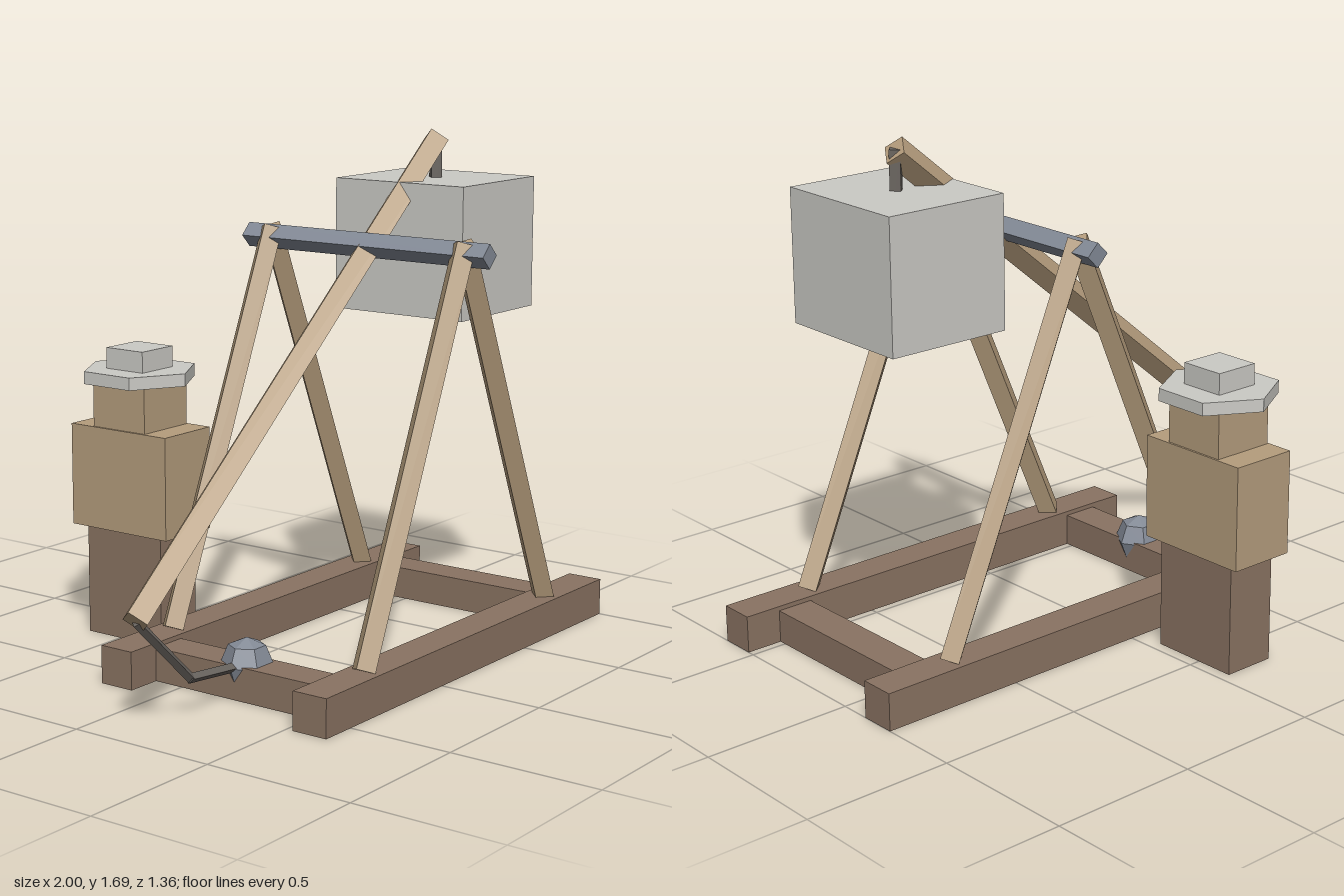
import * as THREE from 'three';

export function createModel() {
  const model = new THREE.Group();
  const mat = (name, color) => {
    const m = new THREE.MeshStandardMaterial({ color, flatShading: true });
    m.name = name;
    return m;
  };
  const darkWood = mat('dark wood', 0x8a7362);
  const lightWood = mat('light wood', 0xb59d7d);
  const paleStone = mat('pale stone', 0xcbcac5);
  const steel = mat('steel', 0x838a96);
  const rope = mat('rope', 0x69645f);

  const add = (name, geometry, material, x, y, z) => {
    const mesh = new THREE.Mesh(geometry, material);
    mesh.name = name;
    mesh.position.set(x, y, z);
    model.add(mesh);
    return mesh;
  };
  const box = (name, material, w, h, d, x, bottom, z) =>
    add(name, new THREE.BoxGeometry(w, h, d), material, x, bottom + h / 2, z);

  // Square beam set on edge, running between two points in the x-y plane
  const beam = (name, material, radius, x0, y0, x1, y1, z) => {
    const length = Math.hypot(x1 - x0, y1 - y0);
    const mesh = add(name, new THREE.CylinderGeometry(radius, radius, length, 4),
      material, (x0 + x1) / 2, (y0 + y1) / 2, z);
    mesh.rotation.z = Math.atan2(y1 - y0, x1 - x0) - Math.PI / 2;
  };

  const midZ = 0.21;
  const pivotX = 0.185;

  // Base frame
  for (const side of [-1, 1]) {
    const z = midZ + side * 0.376;
    box('baseRail', darkWood, 1.625, 0.125, 0.123, 0.1875, 0, z);
    // A-frame legs
    for (const dir of [-1, 1]) {
      beam('supportLeg', lightWood, 0.043, pivotX + dir * 0.53, 0.125, pivotX, 1.374, z);
    }
  }
  for (const x of [-0.4425, 0.8125]) {
    box('crossBeam', darkWood, 0.125, 0.11, 0.64, x, 0, midZ);
  }

  // Axle and throwing arm
  const axle = add('axle', new THREE.CylinderGeometry(0.04, 0.04, 0.94, 4), steel, pivotX, 1.345, midZ);
  axle.rotation.x = Math.PI / 2;
  beam('throwingArm', lightWood, 0.048, -0.97, 0.362, 0.594, 1.656, midZ);

  // Counterweight and its hanger
  beam('hanger', rope, 0.025, 0.591, 1.4, 0.591, 1.66, midZ);
  box('counterweight', paleStone, 0.437, 0.437, 0.5, 0.591, 1.094, midZ);

  // Sling and stone
  beam('slingUpper', rope, 0.016, -0.965, 0.36, -0.715, 0.125, midZ);
  beam('slingLower', rope, 0.016, -0.725, 0.127, -0.44, 0.1, midZ);
  add('slingStone', new THREE.SphereGeometry(0.084, 6, 4), steel, -0.44, 0.104, midZ);

  // Operator standing behind the frame
  const px = -0.13, pz = -0.478;
  box('operatorLegs', darkWood, 0.182, 0.375, 0.315, px, 0, pz);
  box('operatorTorso', lightWood, 0.232, 0.345, 0.405, px, 0.375, pz);
  box('operatorHead', lightWood, 0.218, 0.155, 0.22, px, 0.72, pz);
  add('hatBrim', new THREE.CylinderGeometry(0.194, 0.194, 0.042, 6), paleStone, px, 0.894, pz);
  box('hatCrown', paleStone, 0.155, 0.072, 0.155, px, 0.913, pz);

  return model;
}
